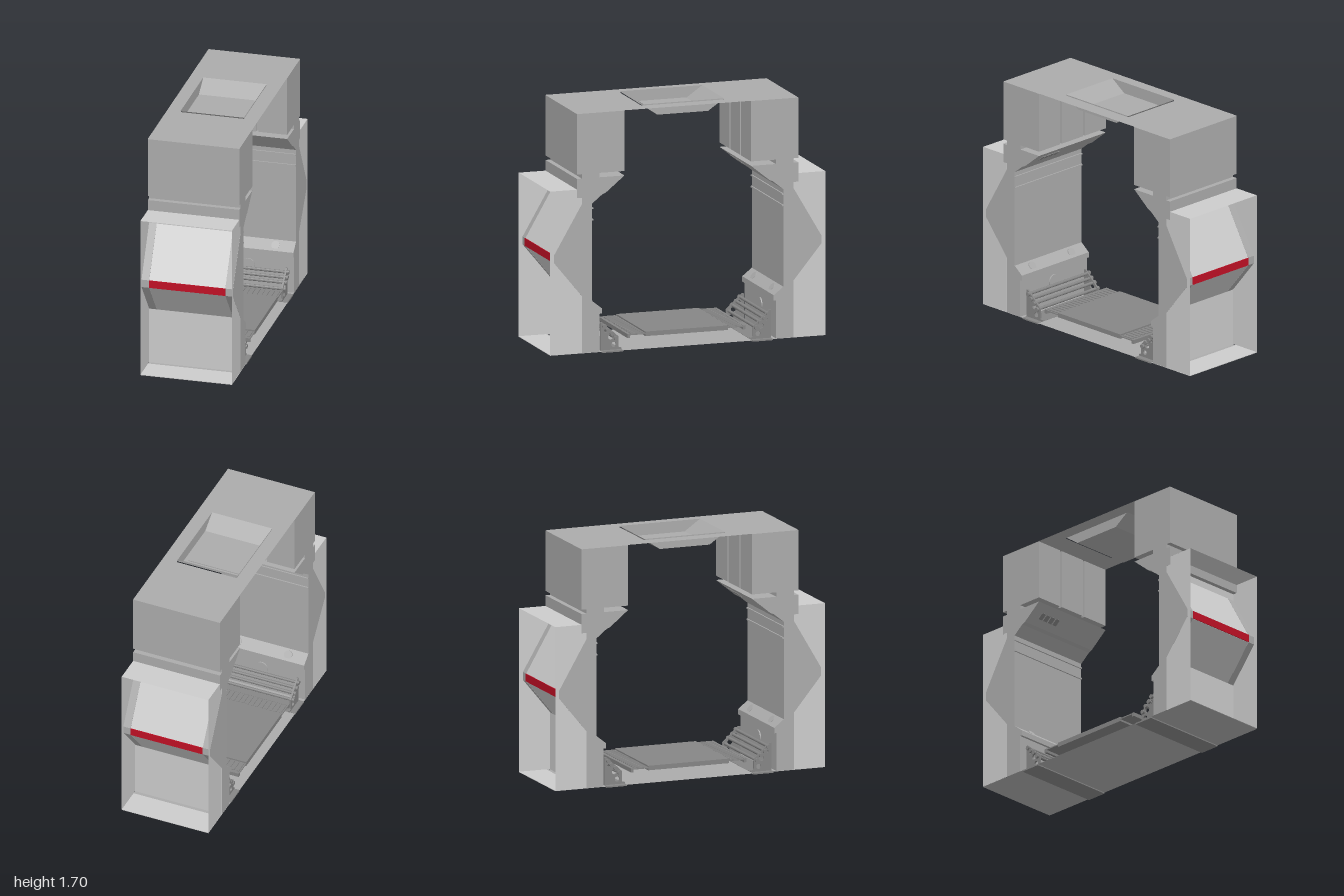
import * as THREE from 'three';

const W = 0.65; // overall width

const mat = (color) => new THREE.MeshStandardMaterial({ color, side: THREE.DoubleSide, flatShading: true });

export function createModel() {
  const body = mat(0xababab), light = mat(0xcccccc), metal = mat(0x858585), red = mat(0xc01025);
  const root = new THREE.Group();
  root.name = 'portalScanner';

  const add = (parent, name, geometry, material, x = 0, y = 0, z = 0) => {
    const m = new THREE.Mesh(geometry, material);
    m.name = name;
    m.position.set(x, y, z);
    parent.add(m);
    return m;
  };
  const box = (parent, name, material, [w, h, d], [x, y, z]) =>
    add(parent, name, new THREE.BoxGeometry(w, h, d), material, x, y, z);
  const outline = (pts) => new THREE.Shape(pts.map(([a, b]) => new THREE.Vector2(a, b)));
  // Extrudes a side profile of [z, y] points across x, centred on cx
  const across = (parent, name, material, shape, width, cx = 0) => {
    const g = new THREE.ExtrudeGeometry(shape, { depth: width, bevelEnabled: false, curveSegments: 10 });
    g.rotateY(-Math.PI / 2).translate(cx + width / 2, 0, 0);
    return add(parent, name, g, material);
  };
  const rod = (parent, name, material, radius, length, x, y, z) => {
    const m = add(parent, name, new THREE.CylinderGeometry(radius, radius, length, 12), material, x, y, z);
    m.rotation.z = Math.PI / 2;
    return m;
  };
  // Flat sheet lying in the xz plane
  const sheet = (parent, name, material, w, d, y, z) => {
    const g = new THREE.PlaneGeometry(w, d).rotateX(-Math.PI / 2);
    return add(parent, name, g, material, 0, y, z);
  };

  function pillar() {
    const p = new THREE.Group();

    // Column with inner ledge and overhanging shoulder
    across(p, 'column', body, outline([
      [0.77, 0.01], [0.77, 1.10], [0.805, 1.10], [0.805, 1.235], [0.77, 1.235], [0.77, 1.268], [0.64, 1.268],
      [0.64, 1.235], [0.46, 1.235], [0.595, 1.125], [0.62, 1.115], [0.695, 1.055], [0.695, 0.37],
      [0.625, 0.315], [0.625, 0.277], [0.642, 0.277], [0.642, 0.01],
    ]), W);

    // Upper cabinet with three inner panels divided by grooves
    box(p, 'cabinet', body, [W, 0.424, 0.325], [0, 1.478, 0.6425]);
    for (const i of [-1, 0, 1]) {
      box(p, 'cabinetPanel', body, [0.205, 0.424, 0.02], [i * 0.2225, 1.478, 0.47]);
    }

    // Open outer bay: cheeks, cap and back panels
    for (const s of [-1, 1]) {
      const cheek = new THREE.PlaneGeometry(0.23, 1.15).rotateY(s * Math.PI / 2);
      add(p, 'bayCheek', cheek, light, s * 0.3245, 0.585, 0.885);
    }
    sheet(p, 'bayCap', light, W, 0.195, 1.16, 0.9025);
    sheet(p, 'bayFloor', light, W, 0.2, 0.012, 0.9);
    add(p, 'lowerBackPanel', new THREE.PlaneGeometry(W, 0.4), light, 0, 0.21, 0.772);
    add(p, 'upperBackPanel', new THREE.PlaneGeometry(W, 0.05), light, 0, 1.075, 0.772);

    // Wedge shaped housing with pale centre and red lamp strip
    const wedge = (d) => outline([[0.77, 0.41], [0.97 + d, 0.655], [0.97 + d, 0.71], [0.77, 1.055]]);
    across(p, 'wedgeCentre', light, wedge(0), 0.54);
    for (const s of [-1, 1]) across(p, 'wedgeEnd', body, wedge(0.002), 0.055, s * 0.298);
    box(p, 'lampStrip', red, [0.54, 0.054, 0.015], [0, 0.683, 0.968]);

    // Trim on the inner wall
    for (const y of [0.94, 1.02]) box(p, 'wallRail', body, [W, 0.01, 0.01], [0, y, 0.691]);
    for (let i = 0; i < 4; i++) {
      const slot = box(p, 'shoulderVent', metal, [0.035, 0.008, 0.05], [0.09 + i * 0.045, 1.177, 0.53]);
      slot.rotation.x = 0.685;
    }
    for (const x of [-0.19, 0.19]) {
      const b = add(p, 'ledgeButton', new THREE.CylinderGeometry(0.03, 0.03, 0.012, 20), body, x, 0.342, 0.66);
      b.rotation.x = -0.9;
    }
    const port = add(p, 'wallPort', new THREE.CylinderGeometry(0.045, 0.045, 0.012, 20), body, 0, 0.19, 0.64);
    port.rotation.x = Math.PI / 2;

    // Perforated brackets carrying a sloping row of rollers
    const bracket = outline([[0.62, 0], [0.62, 0.205], [0.605, 0.205], [0.49, 0.1], [0.488, 0.025], [0.468, 0.02], [0.468, 0]]);
    for (const [z, y, r] of [[0.545, 0.1, 0.02], [0.525, 0.045, 0.018], [0.585, 0.145, 0.012]]) {
      bracket.holes.push(new THREE.Path().absarc(z, y, r, 0, Math.PI * 2, true));
    }
    for (const s of [-1, 1]) across(p, 'rollerBracket', metal, bracket, 0.012, s * 0.28);
    for (const [z, y] of [[0.595, 0.18], [0.57, 0.15], [0.54, 0.125], [0.51, 0.09]]) {
      rod(p, 'roller', metal, 0.011, 0.56, 0, y, z);
      for (const s of [-1, 1]) rod(p, 'rollerCap', metal, 0.015, 0.016, s * 0.295, y, z);
    }
    box(p, 'bracketFoot', metal, [W, 0.01, 0.15], [0, 0.005, 0.545]);

    // Slatted end of the bed
    box(p, 'bedTongue', metal, [0.6, 0.008, 0.13], [0, 0.108, 0.365]);
    box(p, 'bedLip', metal, [0.6, 0.028, 0.02], [0, 0.1, 0.42]);
    for (let i = 0; i < 17; i++) {
      box(p, 'bedSlat', metal, [0.018, 0.006, 0.095], [-0.28 + i * 0.035, 0.114, 0.357]);
    }
    return p;
  }

  const front = pillar(), back = pillar();
  front.name = 'frontPillar';
  back.name = 'backPillar';
  back.rotation.y = Math.PI;
  root.add(front, back);

  // Base sheet and raised bed
  sheet(root, 'base', body, W, 2, 0.008, 0);
  box(root, 'bed', metal, [0.6, 0.032, 0.6], [0, 0.106, 0]);

  // Roof sheet with a rectangular opening
  const roof = outline([[-W / 2, -0.8], [W / 2, -0.8], [W / 2, 0.8], [-W / 2, 0.8]]);
  const hole = outline([[-0.228, -0.3], [-0.228, 0.3], [0.222, 0.3], [0.222, -0.3]]);
  roof.holes.push(hole);
  add(root, 'roof', new THREE.ShapeGeometry(roof).rotateX(-Math.PI / 2), body, 0, 1.692, 0);

  // Sunken tray in the roof: sloped ends, upright sides, flat floor
  const tray = new THREE.Group();
  tray.name = 'roofTray';
  root.add(tray);
  const side = outline([[-0.3, 1.7], [-0.185, 1.62], [0.185, 1.62], [0.3, 1.7]]);
  for (const x of [-0.228, 0.222]) {
    add(tray, 'traySide', new THREE.ShapeGeometry(side).rotateY(-Math.PI / 2), body, x, 0, 0);
  }
  const slope = Math.hypot(0.115, 0.08);
  for (const s of [-1, 1]) {
    const end = sheet(tray, 'trayEnd', body, 0.45, slope, 1.66, s * 0.2425);
    end.position.x = -0.003;
    end.rotation.x = -s * Math.atan2(0.08, 0.115);
  }
  sheet(tray, 'trayFloor', body, 0.45, 0.37, 1.62, 0).position.x = -0.003;
  box(tray, 'trayPanel', body, [0.4, 0.006, 0.345], [-0.008, 1.624, 0]);

  return root;
}
